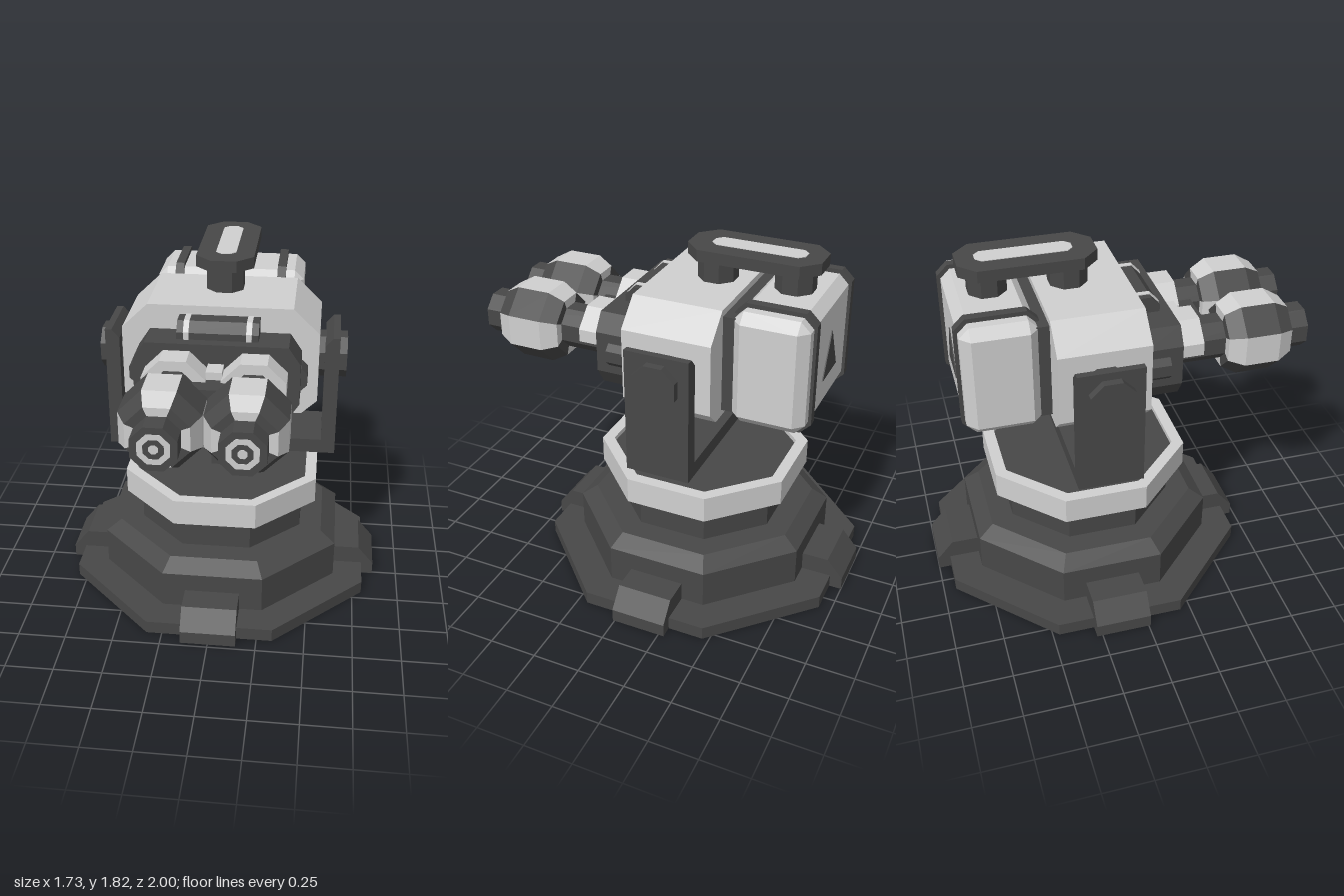
import * as THREE from 'three';
import { ConvexGeometry } from 'three/addons/geometries/ConvexGeometry.js';

const T = Math.tan(Math.PI / 8), C = Math.cos(Math.PI / 8);
const AXIS_Z = -0.135; // vertical axis of the stand

export function createModel() {
  const model = new THREE.Group();
  const dark = new THREE.MeshStandardMaterial({ color: 0x484848 });
  dark.name = 'dark grey';
  const light = new THREE.MeshStandardMaterial({ color: 0xd0d0d0 });
  light.name = 'light grey';

  // Adds a faceted mesh
  function add(name, geometry, material, x = 0, y = 0, z = 0, parent = model) {
    const g = geometry.index ? geometry.toNonIndexed() : geometry;
    g.computeVertexNormals();
    const mesh = new THREE.Mesh(g, material);
    mesh.name = name;
    mesh.position.set(x, y, z);
    parent.add(mesh);
    return mesh;
  }
  const shape = (pts) => new THREE.Shape(pts.map(([x, y]) => new THREE.Vector2(x, y)));
  const extrude = (s, depth) => new THREE.ExtrudeGeometry(s, { depth, bevelEnabled: false });
  // Upright octagonal prism sized by its flat-to-flat half width
  const prism = (bottom, top, h) =>
    new THREE.CylinderGeometry(top / C, bottom / C, h, 8).rotateY(Math.PI / 8);
  const tier = (name, bottom, top, y0, y1, mat, z = AXIS_Z) =>
    add(name, prism(bottom, top, y1 - y0), mat, 0, (y0 + y1) / 2, z);
  // Rectangle with cut corners: half width, half height, upper and lower cuts
  const cutRect = (w, h, cx, cy = cx, bx = cx, by = cy) => [
    [-w + bx, -h], [w - bx, -h], [w, -h + by], [w, h - cy],
    [w - cx, h], [-w + cx, h], [-w, h - cy], [-w, -h + by]];
  const octagon = (a) => cutRect(a, a, a * (1 - T));
  const box = (name, x0, x1, y0, y1, z0, z1, mat) =>
    add(name, new THREE.BoxGeometry(x1 - x0, y1 - y0, z1 - z0), mat,
      (x0 + x1) / 2, (y0 + y1) / 2, (z0 + z1) / 2);
  // Box with every edge bevelled
  function bevelBox(hx, hy, hz, c) {
    const pts = [];
    for (const x of [-1, 1]) for (const y of [-1, 1]) for (const z of [-1, 1]) {
      pts.push(new THREE.Vector3(x * hx, y * (hy - c), z * (hz - c)),
        new THREE.Vector3(x * (hx - c), y * hy, z * (hz - c)),
        new THREE.Vector3(x * (hx - c), y * (hy - c), z * hz));
    }
    return new ConvexGeometry(pts);
  }

  // Stepped base
  tier('baseSlab', 0.8, 0.8, 0, 0.07, dark);
  tier('baseStep', 0.64, 0.64, 0.07, 0.27, dark);
  tier('baseStepBevel', 0.64, 0.56, 0.27, 0.33, dark);
  tier('column', 0.44, 0.44, 0.33, 0.51, dark);
  for (let i = 0; i < 4; i++) {
    const foot = extrude(shape([[0.6, 0], [0.865, 0], [0.865, 0.07], [0.78, 0.17], [0.6, 0.17]]), 0.29);
    add('foot', foot.translate(0, 0, -0.145), dark, 0, 0, AXIS_Z).rotation.y = i * Math.PI / 2;
  }

  // Turntable with a light rim and sunken floor
  const rim = shape(octagon(0.52));
  rim.holes.push(shape(octagon(0.46)));
  add('turntableRim', extrude(rim, 0.14).rotateX(-Math.PI / 2), light, 0, 0.51, AXIS_Z);
  tier('turntableFloor', 0.46, 0.46, 0.512, 0.625, dark);
  box('post', -0.067, 0.067, 0.62, 0.8, AXIS_Z - 0.067, AXIS_Z + 0.067, dark);

  // Yoke and pivots
  const yoke = shape([[-0.61, 0.79], [0.61, 0.79], [0.61, 1.455], [0.575, 1.455], [0.535, 1.41],
    [0.535, 0.867], [-0.535, 0.867], [-0.535, 1.41], [-0.575, 1.455], [-0.61, 1.455]]);
  add('yoke', extrude(yoke, 0.335), dark, 0, 0, -0.302);
  for (const s of [-1, 1])
    add('pivot', prism(0.112, 0.112, 0.2).rotateZ(Math.PI / 2), dark, s * 0.55, 1.303, AXIS_Z);

  // Main housing
  add('housing', extrude(shape(cutRect(0.505, 0.2875, 0.135, 0.13, 0.08, 0.075)), 0.465), light, 0, 1.3425, -0.368);
  box('rearConnector', -0.36, 0.36, 1.09, 1.597, -0.45, -0.36, dark);

  // Rear pack with straps and marker
  add('rearPack', bevelBox(0.4, 0.296, 0.19, 0.05), light, 0, 1.342, -0.605);
  for (const s of [-1, 1]) {
    const strap = extrude(shape(cutRect(0.203, 0.318, 0.055)), 0.046);
    add('strap', strap.translate(0, 0, -0.023).rotateY(Math.PI / 2), dark, s * 0.279, 1.342, -0.608);
  }
  add('rearTriangle', extrude(shape([[-0.11, -0.11], [0.11, -0.11], [0, 0.12]]), 0.008), dark, 0, 1.33, -0.801);

  // Top rail with light inlay and two posts
  const rail = extrude(shape(cutRect(0.15, 0.343, 0.083)), 0.06).rotateX(-Math.PI / 2);
  add('topRail', rail, dark, 0, 1.755, -0.4);
  const inlay = extrude(shape(cutRect(0.053, 0.24, 0.03)), 0.006).rotateX(-Math.PI / 2);
  add('railInlay', inlay, light, 0, 1.812, -0.41);
  for (const z of [-0.195, -0.6])
    tier('railPost', 0.095, 0.095, 1.62, 1.757, dark, z);

  // Front block, side lugs and sensor bar
  add('frontBlock', extrude(shape(cutRect(0.418, 0.197, 0.06, 0.09)), 0.2), dark, 0, 1.303, 0.083);
  for (const s of [-1, 1])
    add('sideLug', extrude(shape(cutRect(0.05, 0.06, 0.03)), 0.11), dark, s * 0.402, 1.303, 0.105);
  const barProfile = [[-0.225, 1.48], [-0.08, 1.48], [-0.08, 1.583], [-0.18, 1.583], [-0.225, 1.535]];
  const sensor = (w) => extrude(shape(barProfile), w).translate(0, 0, -w / 2).rotateY(Math.PI / 2);
  add('sensorBar', sensor(0.41), dark);
  for (const s of [-1, 1])
    add('sensorStripe', sensor(0.028), light, s * 0.157, 0.004, 0.005);

  // Links between the barrels
  box('lightLink', -0.04, 0.04, 1.3, 1.4, 0.28, 0.385, light);
  box('darkLink', -0.1, 0.1, 1.25, 1.36, 0.28, 0.5, dark);

  // Twin barrels
  for (const s of [-1, 1]) {
    const barrel = new THREE.Group();
    barrel.name = s > 0 ? 'leftBarrel' : 'rightBarrel';
    barrel.position.set(s * 0.197, 1.303, 0);
    model.add(barrel);
    add('tube', extrude(shape(octagon(0.108)), 0.74), dark, 0, 0, 0.26, barrel);

    // Upper half collar
    const a = 0.16, t = a * T;
    add('collar', extrude(shape([[-a, 0], [a, 0], [a, t], [t, a], [-t, a], [-a, t]]), 0.14),
      light, 0, 0, 0.275, barrel);

    // Bulging sleeve with alternating facets
    const profile = [[0.105, 0.55], [0.153, 0.55], [0.195, 0.63], [0.195, 0.81], [0.15, 0.892], [0.105, 0.892]];
    const sleeve = new THREE.LatheGeometry(
      profile.map(([r, z]) => new THREE.Vector2(r / C, z)), 8, Math.PI / 8)
      .rotateX(Math.PI / 2).toNonIndexed();
    const count = 6 * (profile.length - 1);
    for (let i = 0; i < 8; i++) sleeve.addGroup(i * count, count, i % 2);
    add('sleeve', sleeve, [dark, light], 0, 0, 0, barrel);

    // Muzzle ring and centre
    const ring = shape(octagon(0.075));
    ring.holes.push(shape(octagon(0.048)));
    add('muzzleRing', extrude(ring, 0.004), light, 0, 0, 0.998, barrel);
    add('muzzleCentre', extrude(shape(octagon(0.022)), 0.004), light, 0, 0, 0.998, barrel);
  }
  return model;
}
